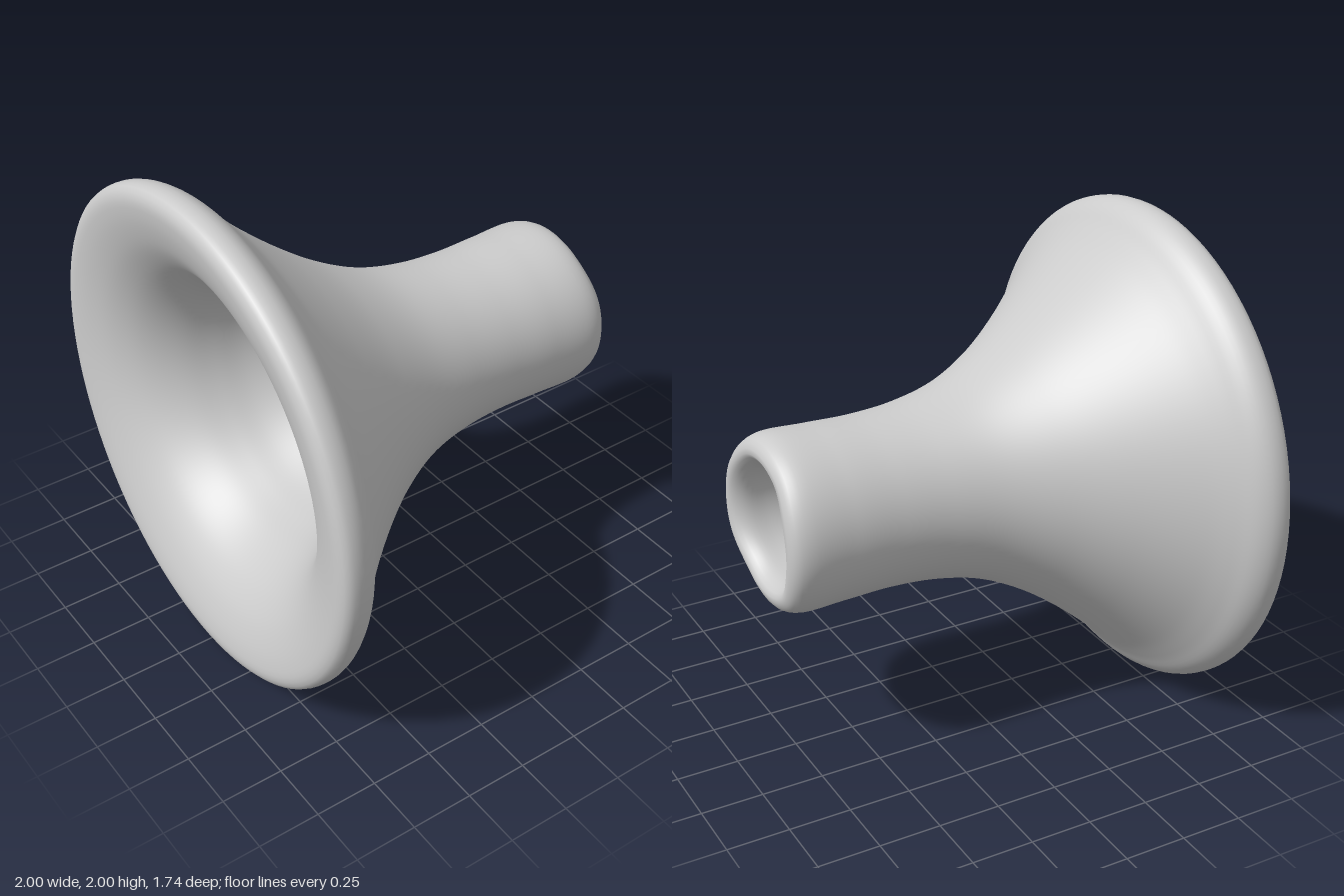
import * as THREE from 'three';

// Closed wall section as [radius, z]: bore, rear lip, outer flare, front lip, inner flare
const SECTION = [
  [0.23, -0.5], [0.23, -0.72], [0.237, -0.82], [0.275, -0.868], [0.325, -0.85], [0.347, -0.8],
  [0.345, -0.6], [0.341, -0.4], [0.357, -0.2], [0.405, 0], [0.503, 0.2], [0.645, 0.4],
  [0.822, 0.6], [0.9, 0.67], [0.97, 0.727], [0.999, 0.78], [0.992, 0.84], [0.955, 0.86], [0.9, 0.857],
  [0.83, 0.84], [0.75, 0.808], [0.68, 0.764], [0.63, 0.72], [0.58, 0.658], [0.535, 0.58],
  [0.495, 0.47], [0.46, 0.355], [0.39, 0.19], [0.315, 0], [0.255, -0.23],
];

function sectionPoints(count) {
  const curve = new THREE.CatmullRomCurve3(
    SECTION.map(([r, z]) => new THREE.Vector3(r, z, 0)), true, 'centripetal');
  return curve.getSpacedPoints(count).map((p) => new THREE.Vector2(p.x, p.y));
}

export function createModel() {
  const model = new THREE.Group();
  model.name = 'horn';

  // Revolve the section, then turn its axis to face forward
  const geometry = new THREE.LatheGeometry(sectionPoints(200), 96);
  geometry.rotateX(Math.PI / 2);

  // Dip the rear lip slightly at its top and bottom, and raise the front lip there
  const { smoothstep } = THREE.MathUtils;
  const pos = geometry.attributes.position;
  for (let i = 0; i < pos.count; i++) {
    const x = pos.getX(i), y = pos.getY(i), z = pos.getZ(i);
    const vertical = (y * y) / (x * x + y * y);
    const rear = smoothstep(-z, 0.5, 0.85) * smoothstep(vertical, 0, 0.8);
    const front = smoothstep(z, 0.6, 0.85) * vertical;
    pos.setZ(i, z + 0.02 * rear + 0.006 * front);
  }

  const bell = new THREE.Mesh(geometry, new THREE.MeshStandardMaterial({ color: 0xcccccc }));
  bell.name = 'flaredBell';
  bell.position.y = 1;
  model.add(bell);
  return model;
}
